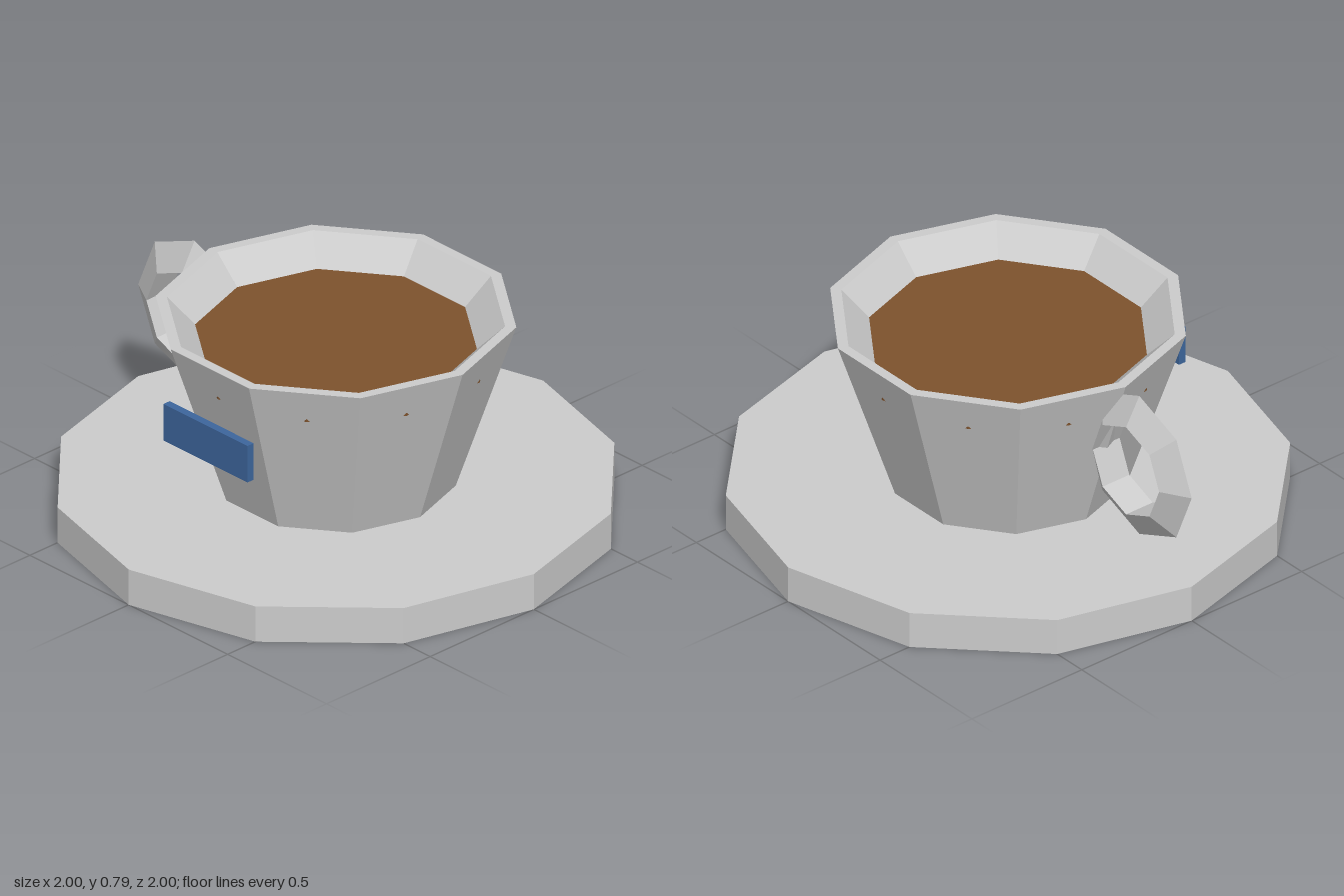
import * as THREE from 'three';

const paint = (color) => new THREE.MeshStandardMaterial({ color, flatShading: true });

export function createModel() {
  const model = new THREE.Group();
  const grey = paint(0xcccccc);

  const add = (name, geometry, material, x, y, z) => {
    const mesh = new THREE.Mesh(geometry, material);
    mesh.name = name;
    mesh.position.set(x, y, z);
    model.add(mesh);
    return mesh;
  };

  // Twelve-sided saucer
  add('saucer', new THREE.CylinderGeometry(1, 1, 0.14, 12), grey, 0, 0.07, 0);

  // Ten-sided cup with a sloping inner wall, corners on the x axis
  const profile = [
    [0, 0.14], [0.425, 0.14], [0.64, 0.79], [0.6, 0.79], [0.41, 0.6], [0, 0.6],
  ].map(([r, y]) => new THREE.Vector2(r, y));
  add('cup', new THREE.LatheGeometry(profile, 10, Math.PI / 2), grey, 0, 0, 0);

  // Drink, its corners just reaching through the middle of each cup face
  add('coffee', new THREE.CylinderGeometry(0.57, 0.57, 0.035, 10), paint(0x7d522d), 0, 0.6725, 0);

  // Handle ring with a triangular section, ridge outward
  add('handle', new THREE.TorusGeometry(0.215, 0.07, 3, 8), grey, -0.715, 0.505, 0);

  // Plain plaque in front of the cup
  add('plaque', new THREE.BoxGeometry(0.425, 0.145, 0.03), paint(0x3d669c), 0, 0.503, 0.615);

  return model;
}
